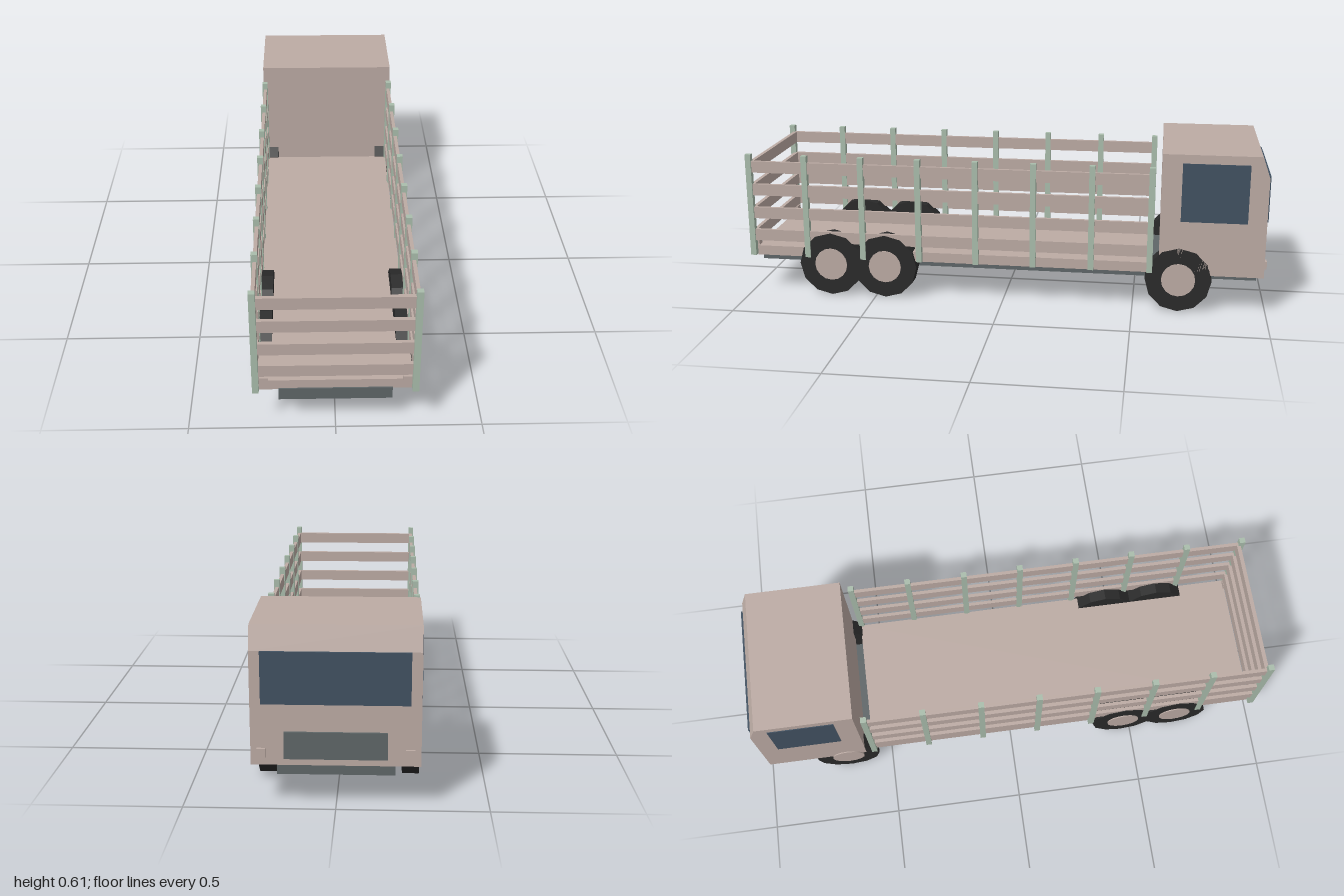
import * as THREE from 'three';

const mat = (name, color) => {
  const m = new THREE.MeshStandardMaterial({ color });
  m.name = name;
  return m;
};

export function createModel() {
  const truck = new THREE.Group();
  truck.name = 'stakeBedTruck';

  const paint = mat('dusty beige paint', 0xbcaba4);
  const green = mat('pale green stakes', 0xaabdac);
  const glass = mat('dark blue glass', 0x415161);
  const steel = mat('grey steel', 0x5f6668);
  const rubber = mat('black rubber', 0x2a2a2a);
  rubber.flatShading = true;

  const add = (name, geometry, material) => {
    const mesh = new THREE.Mesh(geometry, material);
    mesh.name = name;
    truck.add(mesh);
    return mesh;
  };
  // Box given by its lower and upper limits on each axis
  const box = (name, [x0, x1], [y0, y1], [z0, z1], material) => {
    const mesh = add(name, new THREE.BoxGeometry(x1 - x0, y1 - y0, z1 - z0), material);
    mesh.position.set((x0 + x1) / 2, (y0 + y1) / 2, (z0 + z1) / 2);
    return mesh;
  };
  // Limits mirrored to the chosen side
  const sideX = (s, a, b) => (s > 0 ? [a, b] : [-b, -a]);

  // Chassis and load floor
  box('chassis', [-0.192, 0.192], [0.107, 0.152], [-0.965, 0.98], steel);
  box('bedFloor', [-0.262, 0.262], [0.147, 0.185], [-0.565, 0.975], paint);

  // Cab: side profile extruded across the width, nose towards -z
  const profile = new THREE.Shape([
    [0.595, 0.147], [0.985, 0.147], [0.985, 0.53], [0.957, 0.61], [0.595, 0.61],
  ].map(([x, y]) => new THREE.Vector2(x, y)));
  const cab = new THREE.ExtrudeGeometry(profile, { depth: 0.55, bevelEnabled: false });
  cab.translate(0, 0, -0.275).rotateY(Math.PI / 2);
  add('cab', cab, paint);

  // Glass and nose details
  box('windscreen', [-0.24, 0.24], [0.355, 0.53], [-0.992, -0.984], glass);
  box('grille', [-0.167, 0.167], [0.17, 0.262], [-0.993, -0.984], steel);

  const slats = [0.21, 0.3, 0.393, 0.484];
  for (const s of [1, -1]) {
    box('sideWindow', sideX(s, 0.27, 0.278), [0.355, 0.577], [-0.915, -0.67], glass);
    box('headlamp', sideX(s, 0.225, 0.255), [0.175, 0.205], [-0.995, -0.98], paint);
    box('rearLamp', sideX(s, 0.225, 0.255), [0.175, 0.205], [0.97, 0.988], paint);

    // Stakes and side boards
    for (let i = 0; i < 8; i++) {
      const z = 0.988 - i * 0.2213;
      box('stake', sideX(s, 0.257, 0.279), [0.15, 0.556], [z - 0.011, z + 0.011], green);
    }
    for (const y of slats) {
      box('sideSlat', sideX(s, 0.26, 0.273), [y, y + 0.045], [-0.565, 0.985], paint);
    }

    // Wheels
    for (const z of [-0.67, 0.46, 0.675]) {
      const tyre = add('tyre', new THREE.CylinderGeometry(0.125, 0.125, 0.058, 12), rubber);
      tyre.rotation.z = Math.PI / 2;
      tyre.position.set(s * 0.246, 0.125, z);
      const hub = add('hub', new THREE.CylinderGeometry(0.064, 0.064, 0.06, 16), paint);
      hub.rotation.z = Math.PI / 2;
      hub.position.set(s * 0.249, 0.125, z);
    }
  }

  // Tail boards
  for (const y of slats) {
    box('tailSlat', [-0.26, 0.26], [y, y + 0.045], [0.97, 0.985], paint);
  }

  return truck;
}
